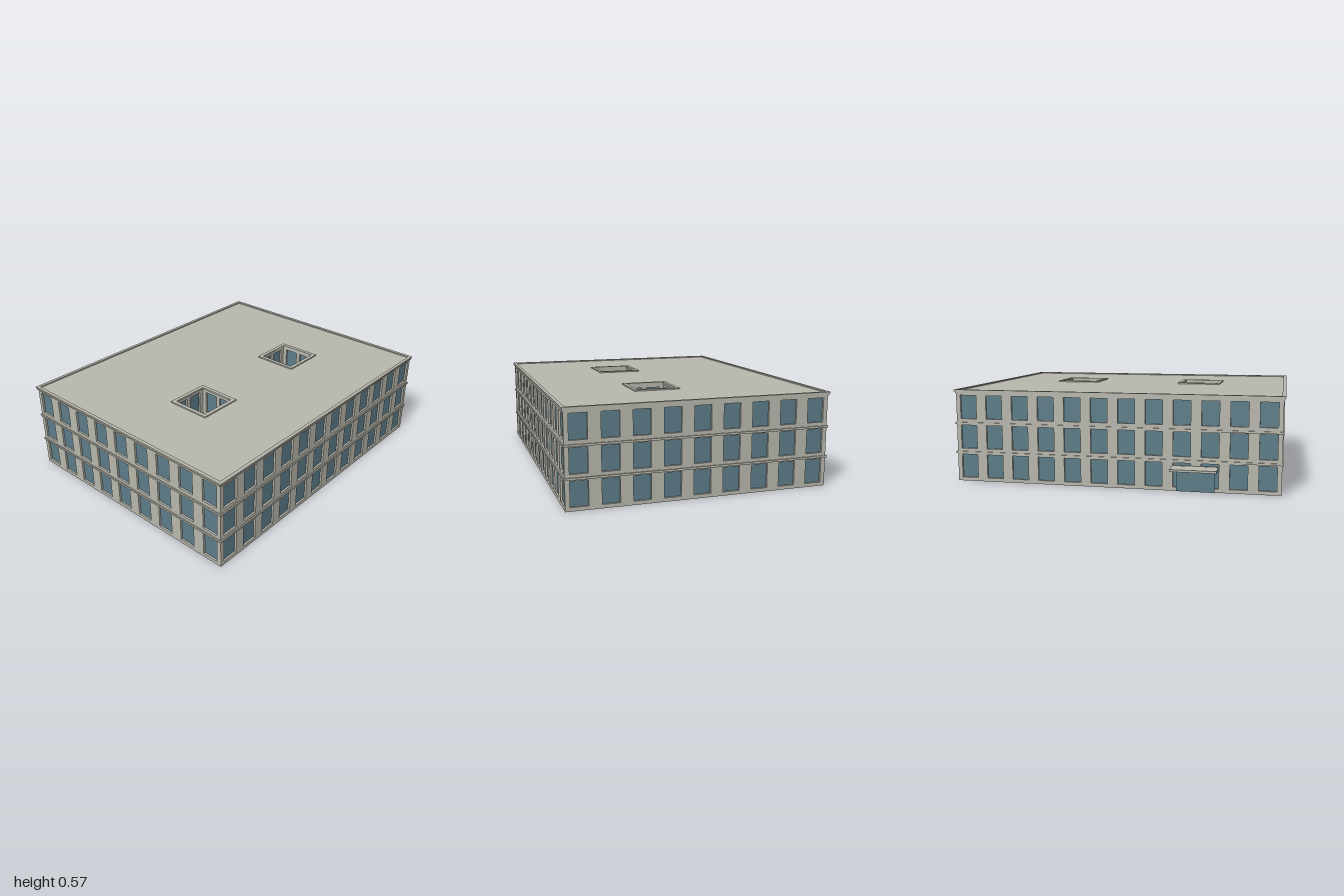
import * as THREE from 'three';
import { mergeGeometries } from 'three/addons/utils/BufferGeometryUtils.js';

const WALL_T = 0.015;      // wall thickness
const HEIGHT = 0.555;      // wall height
const MARGIN = 0.027;      // corner to first window
const BAND_OUT = 0.007;    // projection of storey bands
const SILLS = [0.022, 0.205, 0.39];
const WIN_H = 0.145;

function rectPath(path, x0, y0, x1, y1) {
  path.moveTo(x0, y0);
  path.lineTo(x1, y0);
  path.lineTo(x1, y1);
  path.lineTo(x0, y1);
  path.closePath();
  return path;
}

function mesh(name, geometry, material) {
  const m = new THREE.Mesh(geometry, material);
  m.name = name;
  return m;
}

function box(x0, x1, y0, y1, z0, z1) {
  return new THREE.BoxGeometry(x1 - x0, y1 - y0, z1 - z0)
    .translate((x0 + x1) / 2, (y0 + y1) / 2, (z0 + z1) / 2);
}

// Horizontal slab between two heights, with rectangular openings [x0, x1, z0, z1]
function slab([x0, x1, z0, z1], holes, y0, y1) {
  const shape = rectPath(new THREE.Shape(), x0, -z1, x1, -z0);
  for (const [a, b, c, d] of holes) shape.holes.push(rectPath(new THREE.Path(), a, -d, b, -c));
  return new THREE.ExtrudeGeometry(shape, { depth: y1 - y0, bevelEnabled: false })
    .rotateX(-Math.PI / 2).translate(0, y0, 0);
}

const grow = ([x0, x1, z0, z1], d) => [x0 - d, x1 + d, z0 - d, z1 + d];

export function createModel() {
  const model = new THREE.Group();
  model.name = 'officeBuilding';

  const concrete = new THREE.MeshStandardMaterial({ color: 0xb8b7ad });
  concrete.name = 'concrete';
  const glass = new THREE.MeshStandardMaterial({ color: 0x5c7c88, side: THREE.DoubleSide });
  glass.name = 'blueGlass';

  // One wall facing +z with its outer face at z = 0: pierced panel, glazing and bands.
  // inward is true for light well walls, whose bands meet in inside corners.
  function wall(name, length, columns, winW, inward) {
    const g = new THREE.Group();
    g.name = name;
    const half = length / 2;
    const end = half + (inward ? WALL_T : 0);
    const shape = rectPath(new THREE.Shape(), -end, 0, end, HEIGHT);
    const panes = [];
    const pitch = (length - 2 * MARGIN - winW) / (columns - 1);
    for (const y of SILLS) {
      for (let i = 0; i < columns; i++) {
        const x = -half + MARGIN + i * pitch;
        shape.holes.push(rectPath(new THREE.Path(), x, y, x + winW, y + WIN_H));
        panes.push(new THREE.PlaneGeometry(winW, WIN_H)
          .translate(x + winW / 2, y + WIN_H / 2, -0.012));
      }
    }
    const panel = new THREE.ExtrudeGeometry(shape, { depth: WALL_T, bevelEnabled: false })
      .translate(0, 0, -WALL_T);
    const reach = inward ? half : half + BAND_OUT;
    const bands = [0.174, 0.356].map(y => box(-reach, reach, y, y + 0.012, -0.005, BAND_OUT));
    g.add(mesh('wallPanel', panel, concrete),
      mesh('windowPanes', mergeGeometries(panes), glass),
      mesh('storeyBands', mergeGeometries(bands), concrete));
    return g;
  }

  // Four walls around a rectangle, facing out, or into it for a light well
  function wallRing(name, [x0, x1, z0, z1], columnsX, columnsZ, winW, inward) {
    const g = new THREE.Group();
    g.name = name;
    const cx = (x0 + x1) / 2, cz = (z0 + z1) / 2;
    const places = [
      ['frontWall', cx, z1, 0, x1 - x0, columnsX],
      ['leftWall', x1, cz, Math.PI / 2, z1 - z0, columnsZ],
      ['backWall', cx, z0, Math.PI, x1 - x0, columnsX],
      ['rightWall', x0, cz, -Math.PI / 2, z1 - z0, columnsZ],
    ];
    for (const [n, x, z, turn, length, columns] of places) {
      const w = wall(n, length, columns, winW, inward);
      w.position.set(x, 0, z);
      w.rotation.y = turn + (inward ? Math.PI : 0);
      g.add(w);
    }
    return g;
  }

  // Outer walls and light wells
  const outline = [-0.99, 0.99, -0.73, 0.84];
  const wells = [-0.416, 0.438].map(x => [x - 0.13, x + 0.13, 0.187 - 0.13, 0.187 + 0.13]);
  model.add(wallRing('outerWalls', outline, 12, 9, 0.103, false));
  wells.forEach(w => model.add(wallRing('lightWell', w, 2, 2, 0.09, true)));

  // Roof with the well openings
  model.add(mesh('roof', slab(grow(outline, -0.002), wells, 0.55, 0.562), concrete));

  // Stepped cornice and low parapet around the roof and each well
  model.add(mesh('cornice', slab(grow(outline, 0.005), [grow(outline, -0.01)], 0.548, 0.56), concrete));
  model.add(mesh('parapet', slab(grow(outline, 0.01), [grow(outline, -0.011)], 0.559, 0.57), concrete));
  for (const w of wells) {
    model.add(mesh('wellCornice', slab(grow(w, 0.01), [grow(w, -0.005)], 0.548, 0.56), concrete));
    model.add(mesh('wellParapet', slab(grow(w, 0.013), [grow(w, -0.011)], 0.559, 0.57), concrete));
  }

  // Rear entrance: canopy over a glazed door screen
  model.add(mesh('entranceCanopy', box(-0.63, -0.36, 0.138, 0.151, -0.85, -0.73), concrete));
  model.add(mesh('entranceDoors', box(-0.61, -0.385, 0.003, 0.128, -0.748, -0.743), glass));

  return model;
}
